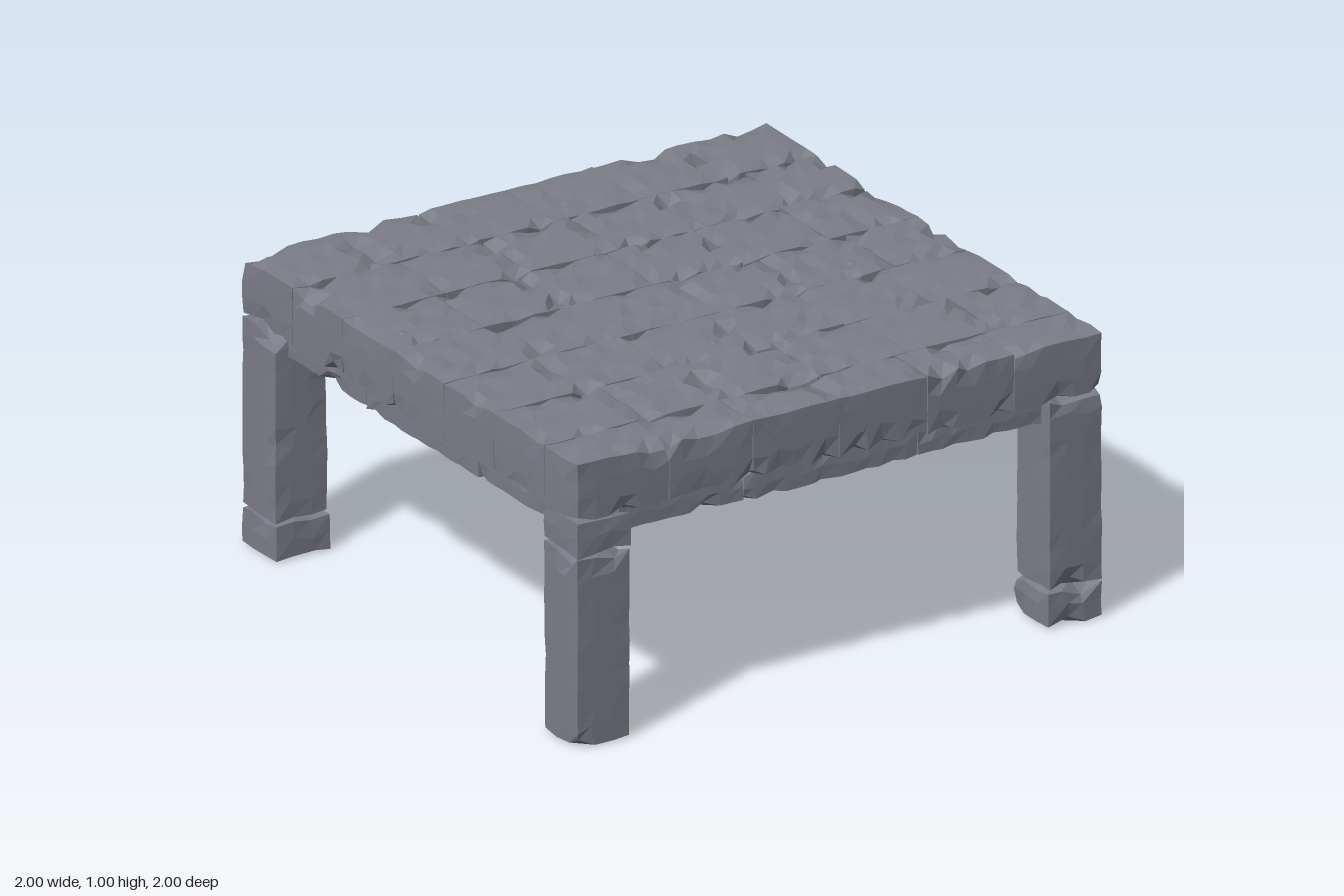
import * as THREE from 'three';

const stone = new THREE.MeshStandardMaterial({ color: 0x7c7e88 });
stone.name = 'slate stone';

// Repeatable 0..1 value for a point in space
function hash(x, y, z, k) {
  const n = Math.sin(Math.round(x * 500) * 12.9898 + Math.round(y * 500) * 78.233 + Math.round(z * 500) * 37.719 + k * 4.581) * 43758.5453;
  return n - Math.floor(n);
}

// Hewn block between two corners: edges are chipped inward, faces dip slightly
function hewnBlock(name, min, max, { cell = 0.06, chip = 0.03, wear = 0.005, dip = 0.008 } = {}) {
  const size = max.map((m, i) => m - min[i]);
  const mid = max.map((m, i) => (m + min[i]) / 2);
  const seg = size.map((s) => Math.max(2, Math.round(s / cell)));
  const box = new THREE.BoxGeometry(...size, ...seg);
  const pos = box.attributes.position;
  for (let i = 0; i < pos.count; i++) {
    const p = [pos.getX(i), pos.getY(i), pos.getZ(i)];
    const at = p.map((v, a) => Math.abs(Math.abs(v) - size[a] / 2) < 1e-5);
    const rim = at.filter(Boolean).length;
    const w = p.map((v, a) => v + mid[a]);
    const r = hash(...w, 1);
    // Horizontal edges chip deeply, upright edges only a little
    const amount = rim > 1
      ? wear * r + (at[1] ? chip : chip * 0.35) * Math.pow(hash(...w, 2), 5)
      : at[1] ? dip * Math.pow(r, 4) : 0;
    const q = p.map((v, a) => {
      if (!at[a]) {
        // Slide interior points along the face so the facets look irregular
        return v + (hash(...w, 5 + a) - 0.5) * (size[a] / seg[a]) * 0.5;
      }
      return v - Math.sign(v) * amount * (a === 1 || rim < 2 ? 1 : 0.35);
    });
    pos.setXYZ(i, ...q);
  }
  const geo = box.toNonIndexed();
  geo.computeVertexNormals();
  const mesh = new THREE.Mesh(geo, stone);
  mesh.name = name;
  mesh.position.set(...mid);
  return mesh;
}

export function createModel() {
  const table = new THREE.Group();
  table.name = 'stoneTable';

  // Deck: staggered courses of paving stones
  const deck = new THREE.Group();
  deck.name = 'deck';
  const rows = [-1, -0.7, -0.4, -0.1, 0.2, 0.5, 0.8, 1];
  const splits = [
    [-1, -0.65, -0.33, 0, 0.335, 0.665, 1],
    [-1, -0.6, -0.28, 0.055, 0.39, 0.725, 1],
  ];
  for (let r = 0; r < rows.length - 1; r++) {
    const xs = splits[r % 2];
    for (let c = 0; c < xs.length - 1; c++) {
      deck.add(hewnBlock('deckStone', [xs[c], 0.79, rows[r]], [xs[c + 1], 1, rows[r + 1]]));
    }
  }
  table.add(deck);

  // Small chipped knobs on the upper and lower faces of the deck
  const knobGeo = new THREE.ConeGeometry(0.028, 0.008, 4).toNonIndexed();
  knobGeo.computeVertexNormals();
  const knobs = [[-0.1, -0.8], [0.11, -0.8], [0.62, -0.5], [-0.9, -0.2], [-0.23, -0.2],
    [0.62, 0.1], [-0.1, 0.4], [0.5, 0.7], [-0.1, 0.97], [0.11, 0.97]];
  for (const [x, z] of knobs) {
    for (const top of [true, false]) {
      if (!top && Math.abs(z) > 0.8) continue;
      const knob = new THREE.Mesh(knobGeo, stone);
      knob.name = 'stoneKnob';
      knob.position.set(x, top ? 0.999 : 0.791, z);
      knob.rotation.set(top ? 0 : Math.PI, 0.4 + x, 0);
      table.add(knob);
    }
  }

  // Apron: three beam stones on each side, set in from the deck edge
  const cuts = [-0.81, -0.335, 0.33, 0.81];
  for (const side of [-1, 1]) {
    const beams = new THREE.Group();
    beams.name = 'apron';
    const a = side * 0.9 - 0.05, b = side * 0.9 + 0.05;
    for (let i = 0; i < 3; i++) {
      const low = i === 1 ? 0.695 : 0.702;
      const opts = { cell: 0.05, chip: 0.025 };
      beams.add(hewnBlock('apronBeam', [cuts[i], low, a], [cuts[i + 1], 0.8, b], opts));
      beams.add(hewnBlock('apronBeam', [a, low, cuts[i]], [b, 0.8, cuts[i + 1]], opts));
    }
    table.add(beams);
  }

  // Legs: two stones each, jointed low on one diagonal and high on the other
  for (const sx of [-1, 1]) {
    for (const sz of [-1, 1]) {
      const leg = new THREE.Group();
      leg.name = 'leg';
      const joint = sx === sz ? 0.13 : 0.665;
      for (const [y0, y1] of [[0, joint], [joint, 0.795]]) {
        const inner = y1 - y0 < 0.2 ? 0.793 : 0.8;
        const x = [sx * inner, sx].sort((p, q) => p - q);
        const z = [sz * inner, sz].sort((p, q) => p - q);
        leg.add(hewnBlock('legStone', [x[0], y0, z[0]], [x[1], y1, z[1]],
          { cell: 0.065, chip: 0.04, wear: 0.008, dip: 0 }));
      }
      table.add(leg);
    }
  }
  return table;
}
